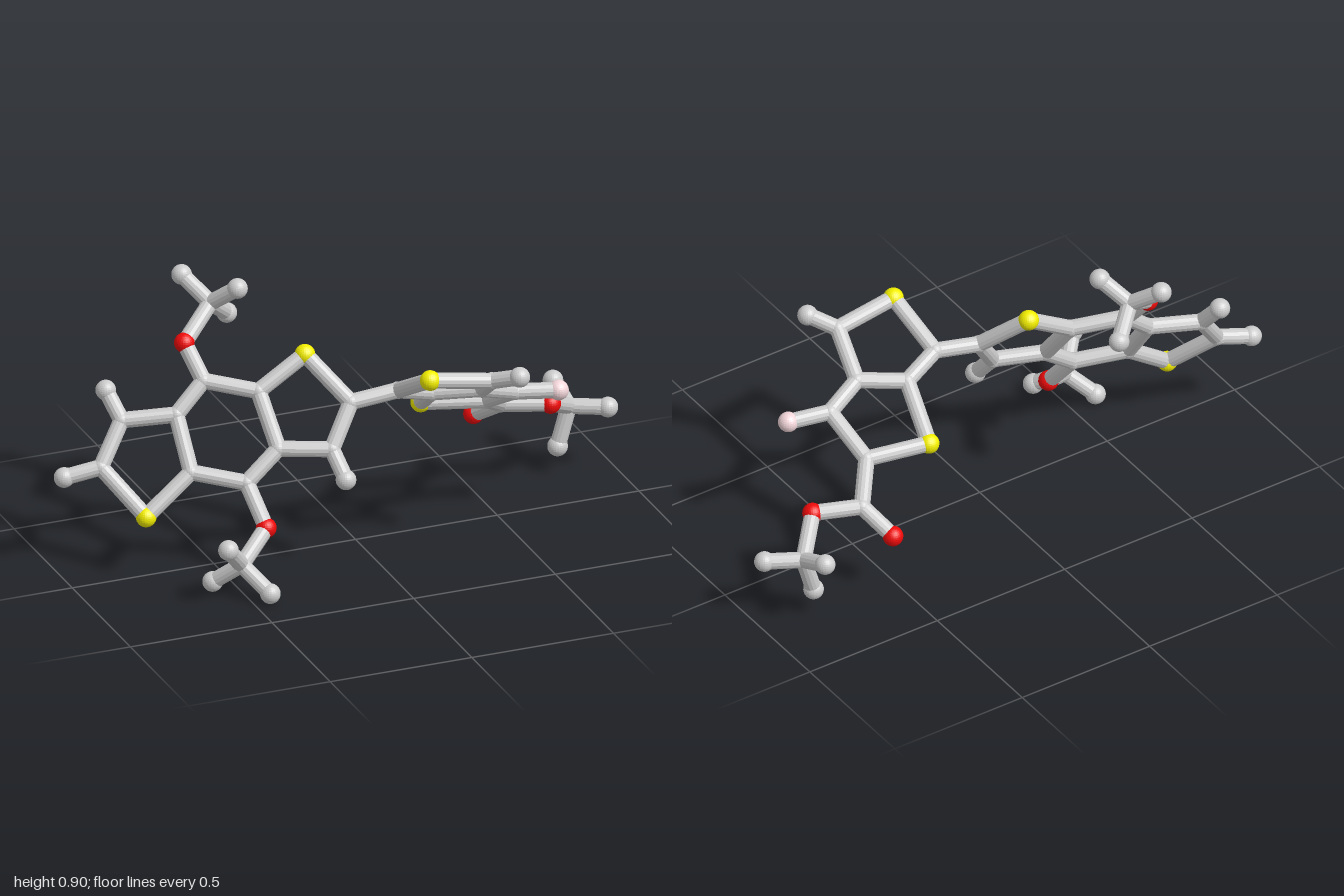
import * as THREE from 'three';

const BOND_R = 0.027, ATOM_R = 0.034, JOINT_R = 0.029;

const material = (color) => new THREE.MeshStandardMaterial({ color, flatShading: true });
const grey = material(0xcccccc);
const STYLES = {
  carbon: { mat: grey, r: JOINT_R },
  hydrogen: { mat: grey, r: ATOM_R },
  sulfur: { mat: material(0xf2ee00), r: ATOM_R },
  oxygen: { mat: material(0xee0a0a), r: ATOM_R },
  fluorine: { mat: material(0xf2d6da), r: ATOM_R },
};
const KINDS = { C: 'carbon', H: 'hydrogen', S: 'sulfur', O: 'oxygen', F: 'fluorine' };

// The two fused ring systems are flat: z follows from x and y
const leftPlane = (x, y) => [x, y, -0.02 + 0.398 * (x + 0.451) - 0.656 * (y - 0.45)];
const rightPlane = (x, y) => [x, y, 0.295 + 0.303 * (x - 0.142) + 1.65 * (y - 0.675)];

// First letter of each key is the kind of atom
const ATOMS = {
  // left three-ring system
  S1: leftPlane(-0.745, 0.22), C2: leftPlane(-0.85, 0.36), C3: leftPlane(-0.757, 0.492),
  C4: leftPlane(-0.587, 0.507), C5: leftPlane(-0.483, 0.602), C6: leftPlane(-0.323, 0.572),
  C7: leftPlane(-0.3, 0.41), C8: leftPlane(-0.418, 0.315), C9: leftPlane(-0.58, 0.345),
  S2: leftPlane(-0.158, 0.675), C10: leftPlane(-0.05, 0.54), C11: leftPlane(-0.138, 0.408),
  H1: leftPlane(-0.968, 0.332), H2: leftPlane(-0.785, 0.577), H3: leftPlane(-0.115, 0.322),
  // upper and lower methoxy branches
  O1: [-0.516, 0.709, -0.215], C12: [-0.393, 0.798, -0.293],
  H4: [-0.457, 0.873, -0.383], H5: [-0.33, 0.873, -0.212], H6: [-0.307, 0.72, -0.36],
  O2: [-0.388, 0.188, 0.177], C13: [-0.51, 0.113, 0.263],
  H7: [-0.585, 0.207, 0.332], H8: [-0.585, 0.038, 0.196], H9: [-0.447, 0.038, 0.356],
  // right two-ring system
  C14: rightPlane(0.107, 0.565), S3: rightPlane(0.142, 0.675), C15: rightPlane(0.358, 0.638),
  C16: rightPlane(0.388, 0.537), C17: rightPlane(0.24, 0.519), S4: rightPlane(0.279, 0.398),
  C18: rightPlane(0.49, 0.391), C19: rightPlane(0.52, 0.488),
  F1: rightPlane(0.66, 0.484), H10: rightPlane(0.425, 0.672),
  // ester branch
  C20: [0.587, 0.31, -0.187], O3: [0.537, 0.237, -0.295], O4: [0.74, 0.31, -0.126],
  C21: [0.85, 0.235, -0.238],
  H11: [0.84, 0.282, -0.35], H12: [0.963, 0.237, -0.177], H13: [0.81, 0.098, -0.237],
};

// Each chain bonds every atom to the next one
const CHAINS = {
  leftRings: ['S1 C2 C3 C4 C5 C6 C7 C8 C9 S1', 'C4 C9', 'C6 S2 C10 C11 C7', 'C2 H1', 'C3 H2', 'C11 H3'],
  upperMethoxy: ['C5 O1 C12 H4', 'H5 C12 H6'],
  lowerMethoxy: ['C8 O2 C13 H7', 'H8 C13 H9'],
  ringLink: ['C10 C14'],
  rightRings: ['C14 S3 C15 C16 C17 C14', 'C17 S4 C18 C19 C16', 'C19 F1', 'C15 H10'],
  ester: ['C18 C20 O4 C21 H11', 'C20 O3', 'H12 C21 H13'],
};

const UP = new THREE.Vector3(0, 1, 0);
const bondGeometry = new THREE.CylinderGeometry(BOND_R, BOND_R, 1, 14, 1, true);
const ballGeometry = new THREE.SphereGeometry(1, 24, 16);

function makeBond(a, b) {
  const dir = b.clone().sub(a);
  const mesh = new THREE.Mesh(bondGeometry, grey);
  mesh.name = 'bond';
  mesh.position.copy(a).addScaledVector(dir, 0.5);
  mesh.scale.y = dir.length();
  mesh.quaternion.setFromUnitVectors(UP, dir.normalize());
  return mesh;
}

export function createModel() {
  const model = new THREE.Group();
  model.name = 'molecule';

  // Atom balls
  const atoms = new THREE.Group();
  atoms.name = 'atoms';
  const at = {};
  for (const [key, p] of Object.entries(ATOMS)) {
    at[key] = new THREE.Vector3(...p);
    const kind = KINDS[key[0]];
    const ball = new THREE.Mesh(ballGeometry, STYLES[kind].mat);
    ball.name = kind + 'Atom';
    ball.position.copy(at[key]);
    ball.scale.setScalar(STYLES[kind].r);
    atoms.add(ball);
  }
  model.add(atoms);

  // Bond sticks, grouped by branch
  for (const [name, chains] of Object.entries(CHAINS)) {
    const group = new THREE.Group();
    group.name = name + 'Bonds';
    for (const chain of chains) {
      const keys = chain.split(' ');
      for (let i = 1; i < keys.length; i++) group.add(makeBond(at[keys[i - 1]], at[keys[i]]));
    }
    model.add(group);
  }
  return model;
}
